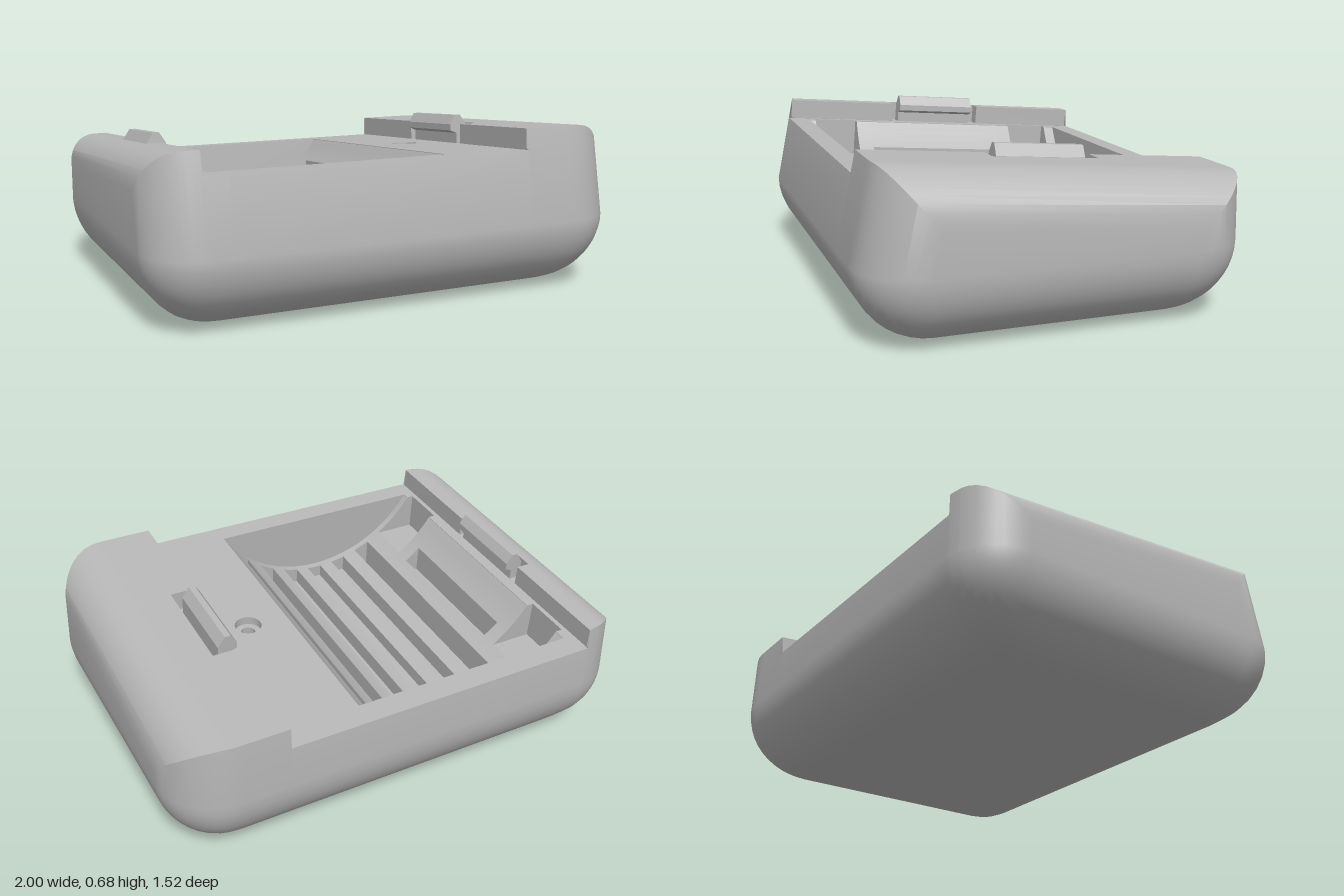
import * as THREE from 'three';
import { toCreasedNormals } from 'three/addons/utils/BufferGeometryUtils.js';

const SLOPE = 0.0833, TILT = Math.atan(SLOPE);
const DECK = 0.5365;           // height of the recessed deck at z = 0
const RIM = 0.086;             // side rims stand this far above the deck
const WALL_L = -0.8, WALL_R = 0.55, FLAT_L = -0.86, FLAT_R = 0.64;

// how far a rounded end of radius r has drawn in at x
const inset = (x, r) => {
  const d = Math.min(Math.abs(x) - (1 - r), r);
  return d > 0 ? r - Math.sqrt(r * r - d * d) : 0;
};

// one slice of the body across x: back top, round the bottom, front top, as [y, z]
function section(x, low) {
  const p = inset(x, x < 0 ? 0.21 : 0.24);
  const top = DECK + (low ? 0 : RIM) - inset(x, x < 0 ? 0.14 : 0.2);
  const ry = 0.3 - inset(x, 0.3), rz = ry * 1.03;
  const yb = (top + SLOPE * (-0.769 + p)) / (1 - SLOPE * 0.03);
  const yf = (top + SLOPE * (0.823 - p)) / (1 + SLOPE * 0.21);
  const pts = [[yb, -0.769 + 0.03 * yb + p]];
  const N = 10;
  for (let k = 0; k <= N; k++) {
    const a = (k / N) * Math.PI / 2;
    pts.push([0.3 - ry * Math.sin(a), -0.76 + p + rz * (1 - Math.cos(a))]);
  }
  for (let k = N; k >= 0; k--) {
    const a = (k / N) * Math.PI / 2;
    pts.push([0.3 - ry * Math.sin(a), 0.76 - p - rz * (1 - Math.cos(a))]);
  }
  pts.push([yf, 0.823 - 0.21 * yf - p]);
  return pts;
}

// z position of the body's front or back top edge, measured along the tilted deck
function edge(x, low, front) {
  const s = section(x, low);
  const [y, z] = front ? s[s.length - 1] : s[0];
  return z * Math.cos(TILT) + (y - DECK) * Math.sin(TILT);
}

function bodyGeometry() {
  const stations = [];
  const ends = [];
  for (let k = 0; k <= 12; k++) ends.push(0.7 + 0.3 * Math.sin((k / 12) * Math.PI / 2));
  [...ends.map(x => -x), FLAT_L].filter(x => x < WALL_L).sort((a, b) => a - b)
    .forEach(x => stations.push([x, false]));
  stations.push([WALL_L, false], [WALL_L, true]);
  ends.map(x => -x).filter(x => x > WALL_L).sort((a, b) => a - b).forEach(x => stations.push([x, true]));
  stations.push([WALL_R, true], [WALL_R, false], [FLAT_R, false]);
  ends.forEach(x => stations.push([x, false]));

  const loops = stations.map(([x, low]) => section(x, low).map(([y, z]) => new THREE.Vector3(x, y, z)));
  const pos = [];
  const tri = (a, b, c) => {
    const area = b.clone().sub(a).cross(c.clone().sub(a)).length();
    if (area > 1e-8) for (const v of [a, b, c]) pos.push(v.x, v.y, v.z);
  };
  const n = loops[0].length;
  for (let i = 0; i + 1 < loops.length; i++) {
    const A = loops[i], B = loops[i + 1];
    const open = A[0].x >= FLAT_L - 1e-6 && B[0].x <= FLAT_R + 1e-6;
    for (let j = 0; j < (open ? n - 1 : n); j++) {
      const k = (j + 1) % n;
      tri(A[j], B[j], B[k]);
      tri(A[j], B[k], A[k]);
    }
  }
  // flat side faces
  const L = loops[0], R = loops[loops.length - 1];
  for (let j = 1; j + 1 < n; j++) {
    tri(L[0], L[j], L[j + 1]);
    tri(R[0], R[j + 1], R[j]);
  }
  const g = new THREE.BufferGeometry();
  g.setAttribute('position', new THREE.Float32BufferAttribute(pos, 3));
  return toCreasedNormals(g, 0.6);
}

const toShape = pts => new THREE.Shape(pts.map(([a, b]) => new THREE.Vector2(a, b)));

// plate drawn in x and z, hanging down from y = 0
function plate(shape, depth) {
  return new THREE.ExtrudeGeometry(shape, { depth, bevelEnabled: false, curveSegments: 24 }).rotateX(Math.PI / 2);
}

// trough cross-section: an arc with optional vent slots and side pockets
const SLOTS = [[-0.537, -0.467], [-0.403, -0.337], [-0.275, -0.207], [-0.147, -0.077], [-0.017, 0.05], [0.113, 0.143]];
const arc = x => {
  const d = x + 0.265;
  return x <= -0.75 || x >= 0.22 ? -0.002 : Math.min(-0.002, 0.3 - Math.sqrt(0.325 - d * d));
};
function troughProfile(cuts) {
  const xs = [-0.8, 0.24];
  for (let k = 0; k <= 40; k++) xs.push(-0.75 + 0.97 * k / 40);
  cuts.forEach(([a, b]) => xs.push(a - 0.0004, a + 0.0004, b - 0.0004, b + 0.0004));
  xs.sort((a, b) => a - b);
  const pts = [[-0.8, -0.345]];
  for (const x of xs) {
    let y = arc(x);
    for (const [a, b, floor] of cuts) if (x > a && x < b) y = Math.min(y, floor);
    pts.push([x, y]);
  }
  pts.push([0.24, -0.345]);
  return toShape(pts);
}

export function createModel() {
  const model = new THREE.Group();
  const grey = new THREE.MeshStandardMaterial({ color: 0xb8b8b8, side: THREE.DoubleSide });
  grey.name = 'light grey';
  const add = (parent, name, geometry) => {
    const m = new THREE.Mesh(geometry, grey);
    m.name = name;
    parent.add(m);
    return m;
  };

  add(model, 'body', bodyGeometry());

  // everything on the sloping deck
  const deck = new THREE.Group();
  deck.name = 'deck';
  deck.position.y = DECK;
  deck.rotation.x = -TILT;
  model.add(deck);

  const N0 = -0.25, N1 = 0.19;   // ends of the clip notches
  const front = edge(0, true, true), back = edge(0, true, false);
  const floor = toShape([
    [WALL_L, back], [WALL_R, back], [WALL_R, N0], [FLAT_R, N0], [FLAT_R, N1], [WALL_R, N1],
    [WALL_R, front], [WALL_L, front], [WALL_L, N1], [FLAT_L, N1], [FLAT_L, N0], [WALL_L, N0]]);
  floor.holes.push(toShape([
    [-0.75, -0.66], [0.22, -0.66], [0.22, 0.61], [-0.75, 0.61], [-0.75, 0.58], [-0.78, 0.58],
    [-0.78, 0.38], [-0.75, 0.38], [-0.75, -0.41], [-0.78, -0.41], [-0.78, -0.61], [-0.75, -0.61]]));
  floor.holes.push(new THREE.Path().absarc(0.39, -0.03, 0.055, 0, Math.PI * 2));
  add(deck, 'deckFloor', plate(floor, 0.004));

  // raised rims, each notched for its clip
  for (const [name, wall, flat] of [['leftRim', WALL_R, FLAT_R], ['rightRim', WALL_L, FLAT_L]]) {
    const pts = [[wall, edge(wall, false, false)], [flat, edge(flat, false, false)],
      [flat, N0], [flat, N1], [flat, edge(flat, false, true)], [wall, edge(wall, false, true)]];
    const inner = flat - Math.sign(flat) * 0.002;
    pts.splice(2, 2);
    pts.push([wall, N1], [inner, N1], [inner, N0], [wall, N0]);
    add(deck, name, plate(toShape(pts), RIM - 0.001)).position.y = RIM * Math.cos(TILT);
  }

  // cradle, built in lengths that share one arc
  const slots = SLOTS.map(([a, b]) => [a, b, -0.325]);
  const pocket = [-0.78, -0.6, -0.165], window = [-0.66, -0.595, -0.23];
  const solid = [-0.75, 0.22];
  const lengths = [
    [-0.66, -0.61, []], [-0.61, -0.59, [pocket]], [-0.59, -0.41, [pocket, ...slots]],
    [-0.41, -0.34, slots], [-0.34, 0.31, [window, ...slots]], [0.31, 0.38, slots],
    [0.38, 0.58, [pocket, ...slots]], [0.58, 0.61, []]];
  for (const [z0, z1, cuts] of lengths) {
    const g = new THREE.ExtrudeGeometry(troughProfile(cuts), { depth: z1 - z0, bevelEnabled: false });
    add(deck, 'cradle', toCreasedNormals(g.translate(0, 0, z0), 0.3));
  }
  for (const z of [-0.67, 0.62]) {
    const g = new THREE.BoxGeometry(solid[1] - solid[0], 0.34, 0.02);
    add(deck, 'cradleEnd', g).position.set((solid[0] + solid[1]) / 2, -0.174, z);
  }

  // countersunk screw hole
  const hole = [[0.055, 0], [0.055, -0.035], [0.03, -0.035], [0.03, -0.12], [0, -0.12]];
  add(deck, 'screwHole', toCreasedNormals(
    new THREE.LatheGeometry(hole.map(([r, y]) => new THREE.Vector2(r, y)), 28), 0.6)).position.set(0.39, 0, -0.03);

  // spring clips with a nose over the deck
  const clip = [[0, -0.004], [0, 0.045], [-0.03, 0.058], [-0.03, 0.085], [-0.005, 0.125], [0.02, 0.125], [0.05, 0.08], [0.05, -0.004]];
  for (const [name, wall, s] of [['leftClip', WALL_R, 1], ['rightClip', WALL_L, -1]]) {
    const g = new THREE.ExtrudeGeometry(toShape(clip.map(([u, y]) => [wall + s * u, y])), { depth: 0.37, bevelEnabled: false });
    add(deck, name, g.translate(0, 0, -0.21));
  }
  return model;
}
